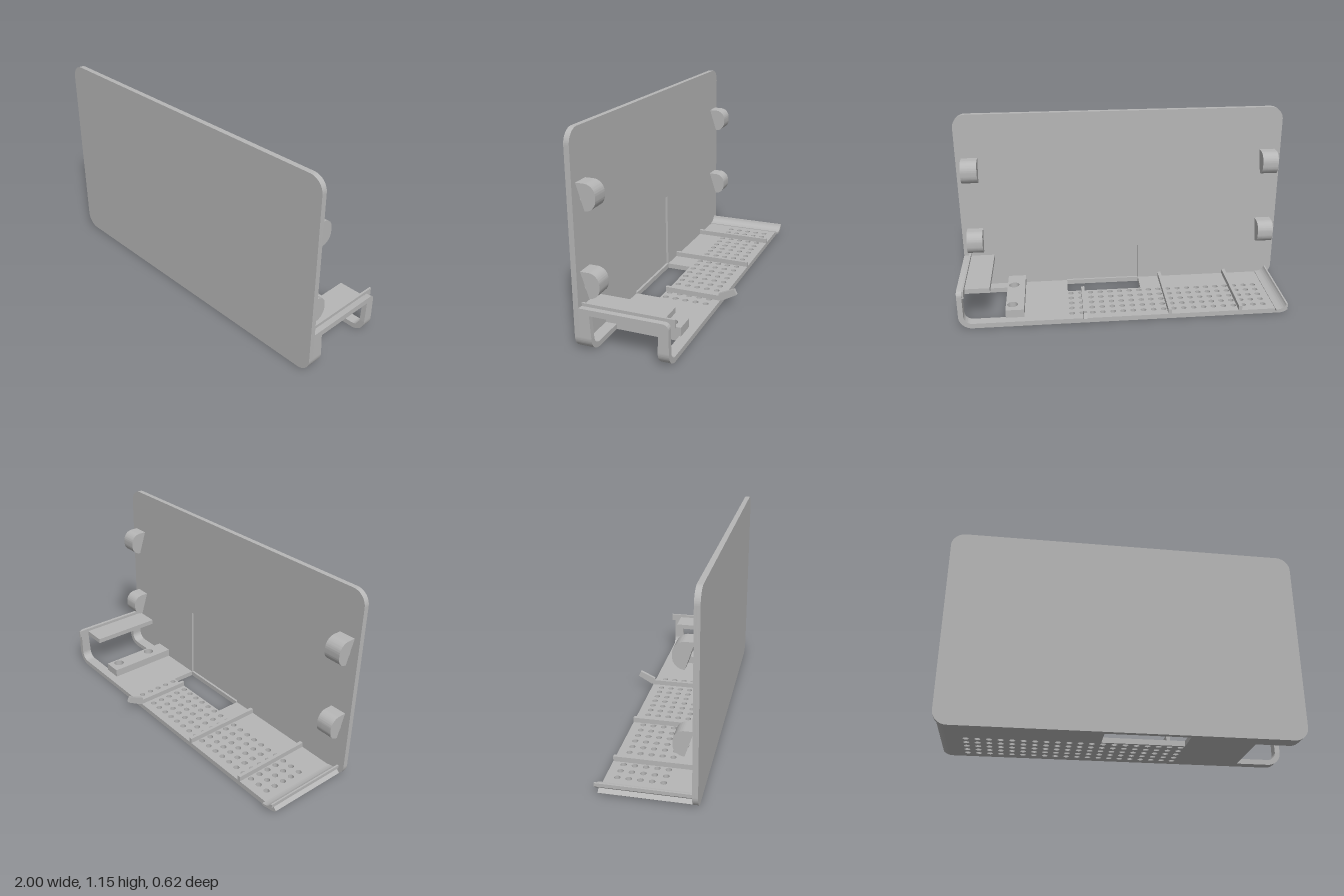
import * as THREE from 'three';
import { toCreasedNormals } from 'three/addons/utils/BufferGeometryUtils.js';

const grey = new THREE.MeshStandardMaterial({ color: 0xb6b6b6 });
grey.name = 'grey plastic';

export function createModel() {
  const model = new THREE.Group();

  const add = (name, geometry) => {
    const mesh = new THREE.Mesh(geometry, grey);
    mesh.name = name;
    model.add(mesh);
    return mesh;
  };
  const solid = (shape, depth) =>
    toCreasedNormals(new THREE.ExtrudeGeometry(shape, { depth, bevelEnabled: false, curveSegments: 12 }), 0.6);
  // Extrusions along each axis: z uses (x, y), y uses (x, -z), x uses (-z, y)
  const alongZ = (name, s, z0, z1) => add(name, solid(s, z1 - z0).translate(0, 0, z0));
  const alongY = (name, s, y0, y1) => add(name, solid(s, y1 - y0).rotateX(-Math.PI / 2).translate(0, y0, 0));
  const alongX = (name, s, x0, x1) => add(name, solid(s, x1 - x0).rotateY(Math.PI / 2).translate(x0, 0, 0));
  const box = (name, x0, x1, y0, y1, z0, z1) =>
    add(name, new THREE.BoxGeometry(x1 - x0, y1 - y0, z1 - z0)
      .translate((x0 + x1) / 2, (y0 + y1) / 2, (z0 + z1) / 2));
  const poly = (points) => new THREE.Shape(points.map(([x, y]) => new THREE.Vector2(x, y)));
  const circle = (x, y, r) => new THREE.Path().absarc(x, y, r, 0, Math.PI * 2, true);

  // Front plate with rounded corners and a shallow recess in its back
  const plate = () => {
    const s = new THREE.Shape(), r = 0.08, h = 1.155;
    s.absarc(1 - r, r, r, -Math.PI / 2, 0);
    s.absarc(1 - r, h - r, r, 0, Math.PI / 2);
    s.absarc(r - 1, h - r, r, Math.PI / 2, Math.PI);
    s.absarc(r - 1, r, r, Math.PI, Math.PI * 1.5);
    s.closePath();
    return s;
  };
  alongZ('frontPlate', plate(), 0.294, 0.31);
  const backLayer = plate();
  backLayer.holes.push(poly([[-0.11, 0.03], [-0.11, 0.485], [0.355, 0.485], [0.355, 0.03]]));
  alongZ('frontPlateBackLayer', backLayer, 0.28, 0.294);

  // Perforated floor, notched at the front and beside the end window
  const floor = poly([
    [-0.92, -0.28], [-0.11, -0.28], [-0.11, -0.13], [0.355, -0.13], [0.355, -0.28],
    [0.92, -0.28], [0.92, -0.215], [0.73, -0.215], [0.73, 0.15], [0.92, 0.15],
    [0.92, 0.21], [-0.92, 0.21]]);
  for (let i = 0; i < 20; i++) {
    for (let j = 0; j < 5; j++) {
      floor.holes.push(new THREE.Path().absarc(-0.835 + i * 0.0616, 0.146 - j * 0.062, 0.017, 0, Math.PI * 2, true));
    }
  }
  alongY('floor', floor, 0, 0.03);

  // Bends where the floor turns up, following the plate corners
  const bend = (cx, from, to) => {
    const s = new THREE.Shape();
    s.absarc(cx, 0.08, 0.08, from, to);
    s.absarc(cx, 0.08, 0.05, to, from, true);
    s.closePath();
    return s;
  };
  for (const [z0, z1] of [[-0.21, -0.15], [0.215, 0.28]]) {
    alongZ('endBend', bend(0.92, -Math.PI / 2, 0), z0, z1);
  }
  alongZ('rightBend', bend(-0.92, -Math.PI / 2 - 0.75, -Math.PI / 2), -0.21, 0.28);

  // End wall: an arch around the window
  const wall = new THREE.Shape();
  wall.moveTo(-0.28, 0.08);
  wall.lineTo(-0.215, 0.08);
  wall.lineTo(-0.222, 0.207);
  wall.lineTo(0.157, 0.207);
  wall.lineTo(0.15, 0.08);
  wall.lineTo(0.21, 0.08);
  wall.absarc(0.18, 0.21, 0.03, 0, Math.PI / 2);
  wall.lineTo(-0.28, 0.24);
  wall.closePath();
  alongX('endWall', wall, 0.97, 1);

  // Shelf and thin rail inside the end wall
  box('shelf', 0.81, 0.972, 0.207, 0.237, -0.165, 0.28);
  box('shelfRail', 0.955, 0.966, 0.21, 0.255, -0.23, 0.28);

  // Curled clip and rail at the other end
  const curl = new THREE.Shape();
  curl.moveTo(-0.895, 0.022);
  curl.quadraticCurveTo(-0.945, 0.022, -0.965, 0.05);
  curl.lineTo(-0.965, 0.07);
  curl.lineTo(-0.955, 0.07);
  curl.quadraticCurveTo(-0.945, 0.036, -0.895, 0.034);
  curl.closePath();
  alongZ('rightClip', curl, -0.233, 0.28);

  // Screw block with two blind holes
  const block = poly([[0.62, -0.28], [0.73, -0.28], [0.73, 0.16], [0.62, 0.16]]);
  for (const z of [-0.093, 0.153]) block.holes.push(circle(0.69, -z, 0.032));
  alongY('screwBlock', block, 0.03, 0.08);

  // Ridges across the floor
  for (const x of [-0.68, -0.25]) box('floorRidge', x - 0.01, x + 0.01, 0.03, 0.06, -0.21, 0.28);
  box('leverRidge', 0.25, 0.27, 0.03, 0.06, -0.21, 0.13);

  // Slanted lever at the back edge
  alongX('lever', poly([[0.2, 0.03], [0.225, 0.035], [0.308, 0.083], [0.293, 0.115], [0.2, 0.072]]), 0.25, 0.27);

  // Mounting tabs with stepped blind holes on their outer faces
  const tab = (y, r) => {
    const s = new THREE.Shape();
    s.moveTo(-0.28, y - 0.07);
    s.absarc(-0.235, y - 0.01, 0.06, -Math.PI / 2, 0);
    s.absarc(-0.235, y + 0.01, 0.06, 0, Math.PI / 2);
    s.lineTo(-0.28, y + 0.07);
    s.closePath();
    if (r) s.holes.push(circle(-0.228, y, r));
    return s;
  };
  for (const side of [-1, 1]) {
    for (const y of [0.355, 0.817]) {
      for (const [a, b, r] of [[0.868, 0.9, 0], [0.9, 0.95, 0.023], [0.95, 0.965, 0.031]]) {
        alongX('mountingTab', tab(y, r), side > 0 ? a : -b, side > 0 ? b : -a);
      }
    }
  }
  return model;
}
